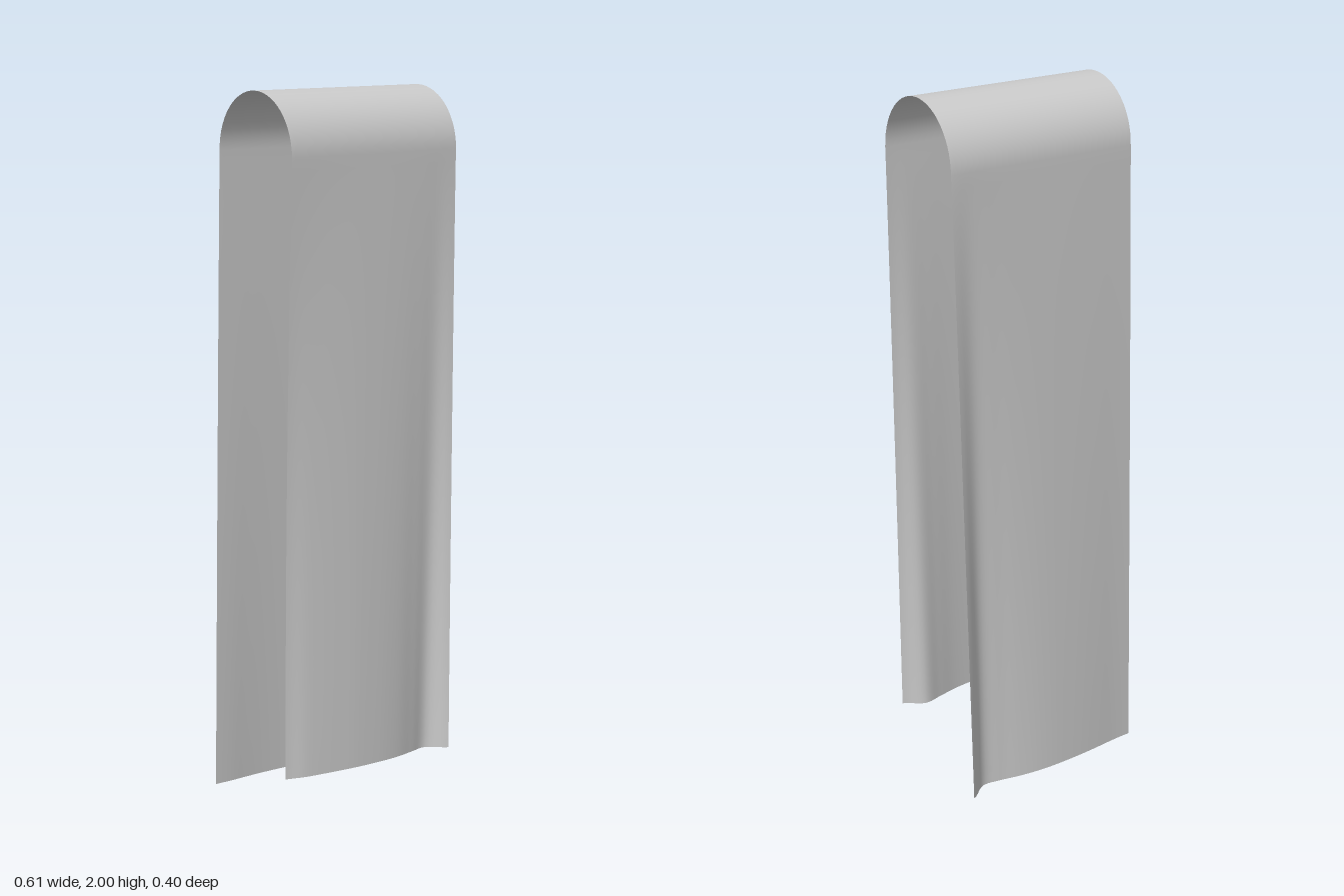
import * as THREE from 'three';

const FLAP = 48, ARC = 28, COLS = 50;      // rows per hanging flap, rows over the fold, columns
const RADIUS = 0.168, FOLD_Y = 1.832, FOLD_Z = -0.0175;

// Evenly spaced samples across the width, smoothed into a wavy hem
const hem = (values) => new THREE.SplineCurve(values.map((v, i) => new THREE.Vector2(i, v)));

// side: +1 front, -1 back; depth: hem distance from z = 0; ease: how the wave grows downward
const flaps = {
  front: {
    side: 1, hemY: (u) => 0.14 - 0.02 * u, ease: (u) => 1.1 + 1.2 * (1 - u) ** 6,
    depth: hem([0.178, 0.19, 0.195, 0.198, 0.2, 0.199, 0.196, 0.189, 0.176, 0.166, 0.204]),
  },
  back: {
    side: -1, hemY: (u) => 0.024 - 0.024 * u, ease: (u) => 1.2 - 0.5 * u ** 6,
    depth: hem([0.165, 0.168, 0.174, 0.179, 0.182, 0.183, 0.18, 0.172, 0.16, 0.155, 0.198]),
  },
};

// Point on a flap: u across the width, t from the fold (0) down to the hem (1)
function flapPoint({ side, hemY, ease, depth }, u, t) {
  const topZ = FOLD_Z + side * RADIUS;
  const hemZ = side * depth.getPoint(u).y;
  return [
    THREE.MathUtils.lerp(-0.255 + 0.558 * u, -0.305 + 0.56 * u, t),
    THREE.MathUtils.lerp(FOLD_Y, hemY(u), t),
    THREE.MathUtils.lerp(topZ, hemZ, t ** ease(u)),
  ];
}

// Point on the rounded fold: s from back (0) to front (1)
function foldPoint(u, s) {
  const a = Math.PI * (1 - s);
  return [-0.255 + 0.558 * u, FOLD_Y + RADIUS * Math.sin(a), FOLD_Z + RADIUS * Math.cos(a)];
}

export function createModel() {
  const group = new THREE.Group();
  group.name = 'drapedTowel';

  // One continuous sheet: up the back, over the fold, down the front
  const rows = FLAP * 2 + ARC;
  const geometry = new THREE.PlaneGeometry(1, 1, COLS, rows);
  const pos = geometry.attributes.position;
  for (let row = 0; row <= rows; row++) {
    for (let col = 0; col <= COLS; col++) {
      const u = col / COLS;
      let p;
      if (row < FLAP) p = flapPoint(flaps.back, u, 1 - row / FLAP);
      else if (row <= FLAP + ARC) p = foldPoint(u, (row - FLAP) / ARC);
      else p = flapPoint(flaps.front, u, (row - FLAP - ARC) / FLAP);
      pos.setXYZ(row * (COLS + 1) + col, ...p);
    }
  }
  geometry.computeVertexNormals();

  const cloth = new THREE.Mesh(
    geometry,
    new THREE.MeshStandardMaterial({ color: 0xcccccc, side: THREE.DoubleSide }),
  );
  cloth.name = 'cloth';
  group.add(cloth);
  return group;
}
